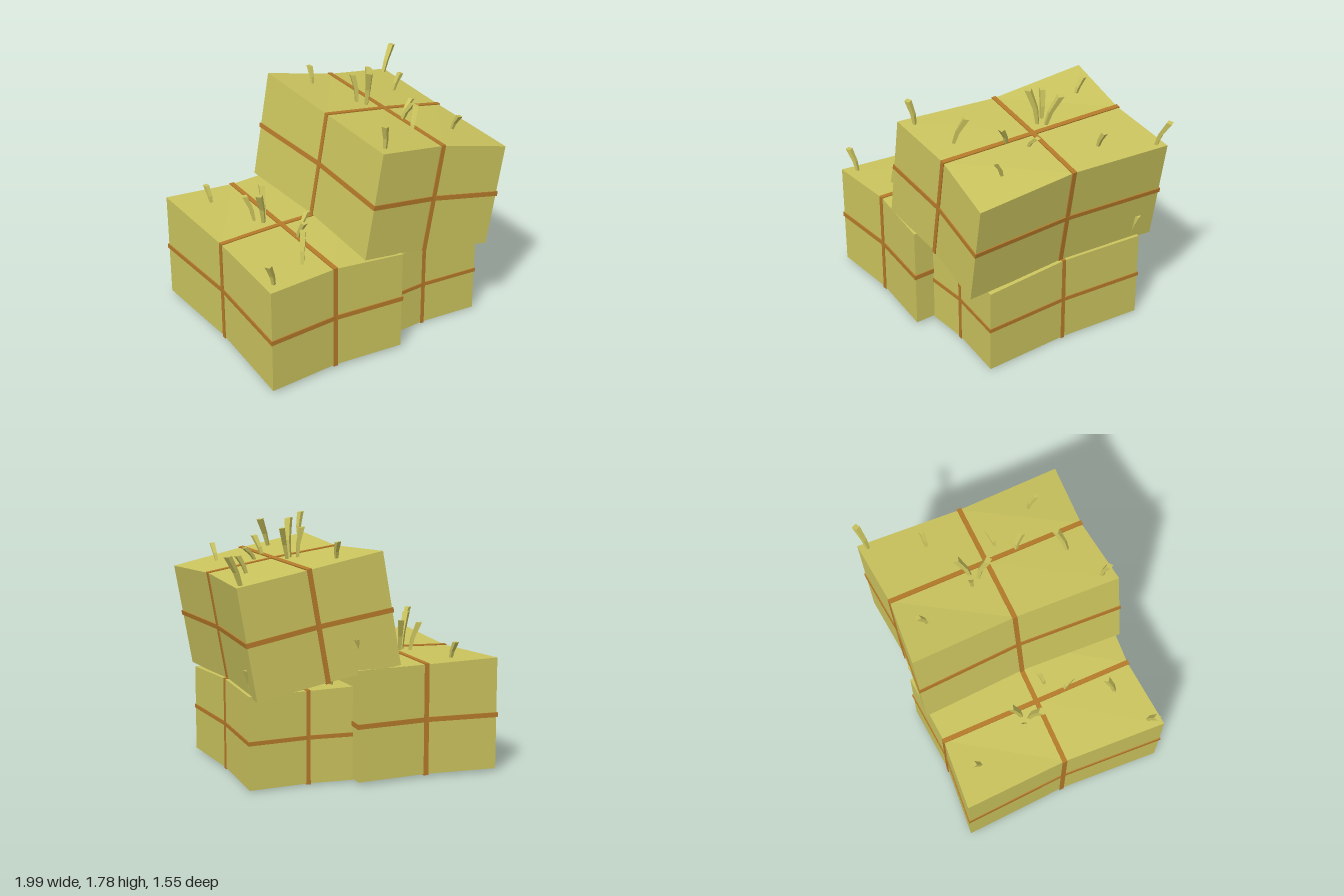
import * as THREE from 'three';

const straw = new THREE.MeshStandardMaterial({ color: 0xcbc45e });
straw.name = 'straw';
const twine = new THREE.MeshStandardMaterial({ color: 0xb57a2a });
twine.name = 'twine';

// Maps a point of the -1/0/1 lattice to the bale surface, pinched in where the twine runs
function balePoint(sx, sy, sz) {
  const x = sx * (sz === 0 ? 0.485 : 0.525);
  const z = sz * (sx === 0 ? 0.725 : 0.765);
  let y = sy * 0.39;
  if (sy === 1) {
    if (sx === 1 && sz === 1) y -= 0.03;
    if (sx === -1 && sz === -1) y += 0.02;
    if (sx === -1 && sz === 0) y -= 0.015;
  }
  return new THREE.Vector3(x, y, z);
}

function faceted(geometry) {
  const flat = geometry.index ? geometry.toNonIndexed() : geometry;
  flat.computeVertexNormals();
  return flat;
}

function baleGeometry() {
  const g = new THREE.BoxGeometry(2, 2, 2, 2, 2, 2);
  const p = g.attributes.position;
  for (let i = 0; i < p.count; i++) {
    const v = balePoint(Math.round(p.getX(i)), Math.round(p.getY(i)), Math.round(p.getZ(i)));
    p.setXYZ(i, v.x, v.y, v.z);
  }
  return faceted(g);
}

// Closed flat band around the bale, perpendicular to the given axis (0 = x, 1 = y, 2 = z)
function twineGeometry(axis) {
  const loop = [[1, 0], [1, 1], [0, 1], [-1, 1], [-1, 0], [-1, -1], [0, -1], [1, -1]];
  const corners = [[0.008, 0.017], [0.008, -0.017], [-0.01, -0.017], [-0.01, 0.017]];
  const positions = [], index = [];
  loop.forEach(([u, v], i) => {
    const s = [0, 0, 0];
    s[(axis + 1) % 3] = u;
    s[(axis + 2) % 3] = v;
    for (const [out, side] of corners) {
      const p = balePoint(...s).addScaledVector(new THREE.Vector3(...s), out);
      p.setComponent(axis, p.getComponent(axis) + side);
      positions.push(p.x, p.y, p.z);
    }
    const j = (i + 1) % loop.length;
    for (let c = 0; c < 4; c++) {
      const d = (c + 1) % 4;
      index.push(i * 4 + c, i * 4 + d, j * 4 + d, i * 4 + c, j * 4 + d, j * 4 + c);
    }
  });
  const g = new THREE.BufferGeometry();
  g.setAttribute('position', new THREE.Float32BufferAttribute(positions, 3));
  g.setIndex(index);
  return faceted(g);
}

// Loose stalks: base x, z, then tip x, y, z
const stalks = [
  [-0.445, 0.67, -0.505, 0.56, 0.705],
  [-0.265, -0.55, -0.275, 0.51, -0.61],
  [-0.125, -0.16, -0.19, 0.59, -0.18],
  [-0.085, -0.10, -0.155, 0.65, -0.03],
  [-0.055, -0.14, -0.03, 0.62, -0.22],
  [0.095, 0.11, 0.165, 0.49, 0.09],
  [0.005, 0.22, 0.02, 0.53, 0.29],
  [-0.155, 0.55, -0.11, 0.605, 0.49],
  [0.285, 0.44, 0.276, 0.506, 0.51],
  [0.307, -0.325, 0.35, 0.52, -0.33],
  [0.473, -0.70, 0.535, 0.60, -0.735],
];

// Four-sided stalk, thin at the base, bending over and widening to the tip
function stalkGeometry([bx, bz, tx, ty, tz]) {
  const baseY = 0.365;
  const height = ty - baseY;
  const wide = 0.017 + height * 0.045;
  const g = new THREE.CylinderGeometry(wide, wide * 0.5, 1, 4, 2);
  g.rotateY(Math.atan2(tx - bx, tz - bz) + Math.PI / 4);
  const p = g.attributes.position;
  for (let i = 0; i < p.count; i++) {
    const t = p.getY(i) + 0.5;
    const lean = t > 0.9 ? 1 : t > 0.4 ? 0.32 : 0;
    p.setXYZ(i, p.getX(i) + bx + (tx - bx) * lean, baseY + height * t, p.getZ(i) + bz + (tz - bz) * lean);
  }
  return faceted(g);
}

export function createModel() {
  const model = new THREE.Group();
  model.name = 'hayBales';
  const body = baleGeometry();
  const bands = [0, 1, 2].map(twineGeometry);
  const tufts = stalks.map(stalkGeometry);

  function addBale(name, x, y, z, scale, tilt) {
    const bale = new THREE.Group();
    bale.name = name;
    const add = (part, geometry, material) => {
      const mesh = new THREE.Mesh(geometry, material);
      mesh.name = part;
      bale.add(mesh);
    };
    add('baleBody', body, straw);
    bands.forEach((g) => add('twineBand', g, twine));
    tufts.forEach((g) => add('looseStalk', g, straw));
    bale.position.set(x, y, z);
    bale.scale.setScalar(scale);
    bale.rotation.z = tilt;
    model.add(bale);
  }

  addBale('largeBale', -0.465, 0.41, 0, 1, 0);
  addBale('smallBale', 0.37, 0.332, -0.015, 0.83, 0);
  addBale('tiltedTopBale', 0.335, 1.112, 0, 1, THREE.MathUtils.degToRad(-10));
  return model;
}
